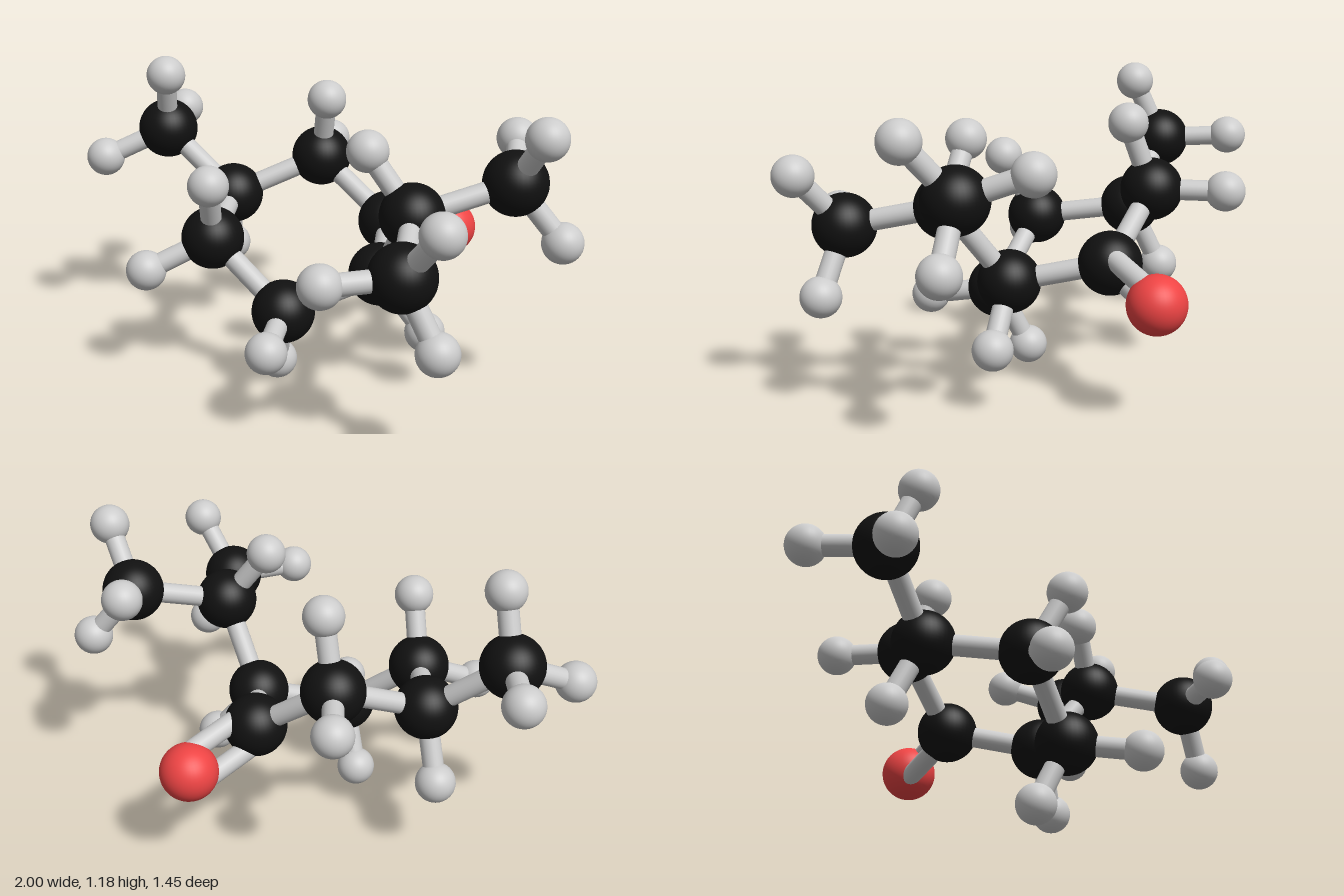
import * as THREE from 'three';

export function createModel() {
  const model = new THREE.Group();
  const grey = new THREE.MeshStandardMaterial({ color: 0xcccccc });
  const black = new THREE.MeshStandardMaterial({ color: 0x111111 });
  const red = new THREE.MeshStandardMaterial({ color: 0xee4444 });
  const BOND_RADIUS = 0.04;

  // Atom kinds: shared sphere and colour
  const kinds = {
    carbon: [new THREE.SphereGeometry(0.12, 40, 28), black],
    hydrogen: [new THREE.SphereGeometry(0.077, 32, 24), grey],
    oxygen: [new THREE.SphereGeometry(0.11, 40, 28), red],
  };

  function atom(kind, p, name) {
    const mesh = new THREE.Mesh(...kinds[kind]);
    mesh.position.copy(p);
    mesh.name = name;
    model.add(mesh);
  }

  function bond(a, b, name, offset = new THREE.Vector3()) {
    const dir = b.clone().sub(a);
    const mesh = new THREE.Mesh(
      new THREE.CylinderGeometry(BOND_RADIUS, BOND_RADIUS, dir.length(), 24), grey);
    mesh.position.copy(a).add(b).multiplyScalar(0.5).add(offset);
    mesh.quaternion.setFromUnitVectors(new THREE.Vector3(0, 1, 0), dir.normalize());
    mesh.name = name;
    model.add(mesh);
  }

  // Each carbon: its centre and the hydrogens attached to it
  const carbons = {
    ringCarbonyl: { at: [0.085, 0.54, -0.325], h: [] },
    ringBranch: { at: [0.295, 0.457, -0.01], h: [[0.46, 0.242, -0.08]] },
    ringLow: { at: [0.06, 0.33, 0.277], h: [[-0.04, 0.079, 0.205], [0.2, 0.286, 0.522]] },
    ringFront: { at: [-0.245, 0.571, 0.34], h: [[-0.155, 0.82, 0.443], [-0.405, 0.455, 0.543]] },
    ringMethyl: { at: [-0.457, 0.625, 0.01], h: [[-0.553, 0.367, -0.07]] },
    ringBack: { at: [-0.227, 0.765, -0.274], h: [[-0.15, 1.024, -0.218], [-0.377, 0.764, -0.514]] },
    methyl: {
      at: [-0.755, 0.862, 0.085],
      h: [[-0.674, 1.108, 0.16], [-0.923, 0.75, 0.285], [-0.911, 0.88, -0.158]],
    },
    branch: { at: [0.515, 0.765, 0.09], h: [[0.354, 0.986, 0.147]] },
    branchBack: {
      at: [0.752, 0.867, -0.202],
      h: [[0.92, 1.076, -0.12], [0.61, 0.962, -0.425], [0.91, 0.654, -0.285]],
    },
    branchFront: {
      at: [0.722, 0.683, 0.415],
      h: [[0.91, 0.887, 0.46], [0.86, 0.442, 0.395], [0.56, 0.678, 0.643]],
    },
  };

  const pos = {};
  for (const [name, { at, h }] of Object.entries(carbons)) {
    pos[name] = new THREE.Vector3(...at);
    atom('carbon', pos[name], name + 'Carbon');
    h.forEach((q, i) => {
      const p = new THREE.Vector3(...q);
      atom('hydrogen', p, `${name}Hydrogen${i + 1}`);
      bond(pos[name], p, `${name}HydrogenBond${i + 1}`);
    });
  }

  // Ring bonds
  const ring = ['ringCarbonyl', 'ringBranch', 'ringLow', 'ringFront', 'ringMethyl', 'ringBack'];
  ring.forEach((n, i) => bond(pos[n], pos[ring[(i + 1) % 6]], `ringBond${i + 1}`));

  // Side chain bonds
  for (const [a, b] of [['ringMethyl', 'methyl'], ['ringBranch', 'branch'],
    ['branch', 'branchBack'], ['branch', 'branchFront']]) {
    bond(pos[a], pos[b], b + 'Bond');
  }

  // Oxygen with a double bond, the two rods either side of the local ring plane
  const oxygen = new THREE.Vector3(0.182, 0.459, -0.615);
  atom('oxygen', oxygen, 'oxygen');
  const c = pos.ringCarbonyl;
  const normal = pos.ringBack.clone().sub(c).cross(pos.ringBranch.clone().sub(c)).normalize();
  for (const s of [-1, 1]) {
    bond(c, oxygen, s < 0 ? 'doubleBondLower' : 'doubleBondUpper', normal.clone().multiplyScalar(0.06 * s));
  }

  return model;
}
